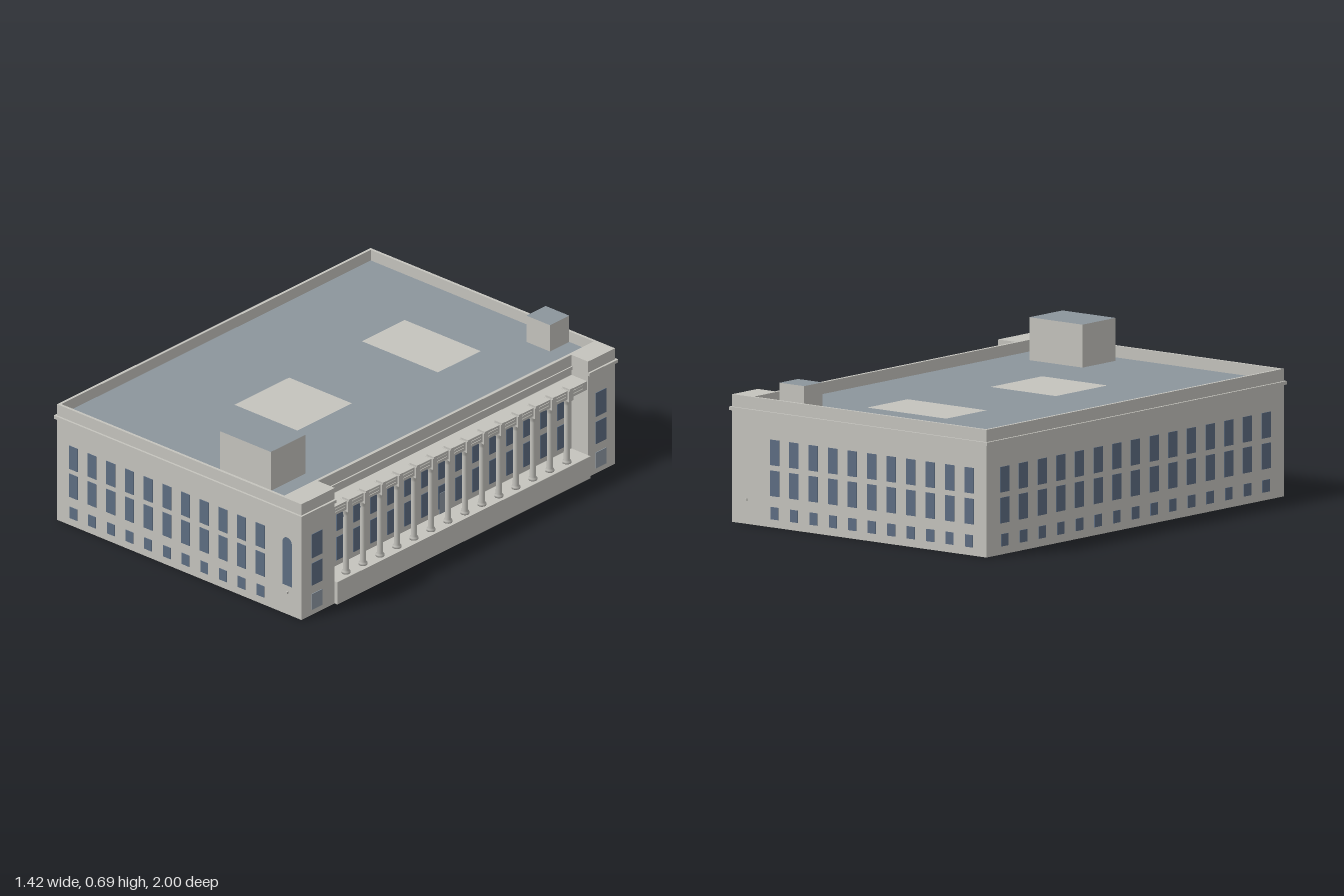
import * as THREE from 'three';

export function createModel() {
  const root = new THREE.Group();
  root.name = 'building';
  const mat = (name, color) => {
    const m = new THREE.MeshStandardMaterial({ color });
    m.name = name;
    return m;
  };
  const stone = mat('stone', 0xc4c3bd);
  const slate = mat('slate', 0x8c959c);
  const glass = mat('window glass', 0x5d6d82);
  const pale = mat('pale panel', 0x8d98a3);

  const add = (name, geo, material, parent = root) => {
    const m = new THREE.Mesh(geo, material);
    m.name = name;
    parent.add(m);
    return m;
  };
  const group = (name) => {
    const g = new THREE.Group();
    g.name = name;
    root.add(g);
    return g;
  };
  // box given by its extents
  const box = (name, x0, x1, y0, y1, z0, z1, material = stone, parent = root) => {
    const m = add(name, new THREE.BoxGeometry(x1 - x0, y1 - y0, z1 - z0), material, parent);
    m.position.set((x0 + x1) / 2, (y0 + y1) / 2, (z0 + z1) / 2);
    return m;
  };

  const L = -0.705, R = 0.695, Z = 0.99, H = 0.55, T = 0.013;
  const wallX = 0.585;          // back of the colonnade recess
  const zA = -0.82, zB = 0.78;  // ends of the colonnade
  const roofY = 0.5;

  // outer walls, open underneath
  const walls = group('walls');
  box('frontWall', L, R, 0, H, Z - T, Z, stone, walls);
  box('backWall', L, R, 0, H, -Z, -Z + T, stone, walls);
  box('leftWall', L, L + T, 0, H, -Z + T, Z - T, stone, walls);
  box('recessWall', wallX, wallX + 0.015, 0, H, zA, zB, stone, walls);

  // end pavilions either side of the colonnade
  for (const [name, z0, z1, inner] of [['frontPavilion', zB, Z - T, zB], ['backPavilion', -Z + T, zA, zA - T]]) {
    const p = group(name);
    box('pavilionFace', R - T, R, 0, H, z0, z1, stone, p);
    box('pavilionSide', wallX, R - T, 0, H, inner, inner + T, stone, p);
    box('pavilionTop', wallX, R - T, roofY, H, z0 + (inner === z0 ? T : 0), z1 - (inner === z0 ? 0 : T), stone, p);
  }

  // cornice band
  const cornice = group('cornice');
  const c0 = 0.482, c1 = 0.497, o = 0.01;
  box('frontCornice', L - o, R + o, c0, c1, Z, Z + o, stone, cornice);
  box('backCornice', L - o, R + o, c0, c1, -Z - o, -Z, stone, cornice);
  box('leftCornice', L - o, L, c0, c1, -Z, Z, stone, cornice);
  box('frontPavilionCornice', R, R + o, c0, c1, zB, Z, stone, cornice);
  box('backPavilionCornice', R, R + o, c0, c1, -Z, zA, stone, cornice);
  box('recessCornice', 0.6, 0.607, c0, c1, zA, zB, stone, cornice);

  // roof with two inset panels; undersides carry the opposite colour
  const rect = (x0, x1, z0, z1, C = THREE.Shape) =>
    new C([[x0, -z0], [x0, -z1], [x1, -z1], [x1, -z0]].map(([a, b]) => new THREE.Vector2(a, b)));
  const panels = [[-0.21, 0.225, -0.66, -0.39], [-0.21, 0.15, 0.07, 0.415]];
  const roofShape = rect(L + T, wallX, -Z + T, Z - T);
  roofShape.holes = panels.map((p) => rect(...p, THREE.Path));
  const flat = (name, shape, topMat, underMat) => {
    const top = new THREE.ShapeGeometry(shape).rotateX(-Math.PI / 2);
    const under = top.clone();
    const ix = under.index.array;
    for (let i = 0; i < ix.length; i += 3) [ix[i], ix[i + 1]] = [ix[i + 1], ix[i]];
    under.computeVertexNormals();
    add(name, top, topMat).position.y = roofY;
    add(name + 'Underside', under, underMat).position.y = roofY - 0.001;
  };
  flat('roof', roofShape, slate, stone);
  panels.forEach((p) => flat('roofPanel', rect(...p), stone, slate));

  // rooftop houses with slate tops
  const topped = [stone, stone, slate, stone, stone, stone];
  box('largeRoofHouse', 0.155, 0.447, roofY, 0.685, 0.69, 0.91, topped);
  box('smallRoofHouse', 0.31, 0.445, roofY, 0.625, -0.977, -0.855, topped);

  // colonnade: podium, columns, entablature
  const col = group('colonnade');
  const step = 0.1073, firstWindow = 0.74;
  box('podium', wallX + 0.015, 0.71, 0, 0.105, zA, zB, stone, col);
  box('entablature', 0.6, 0.69, 0.415, 0.455, zA, zB, stone, col);
  for (const y of [0.425, 0.44]) {
    for (let i = 0; i < 15; i++) {
      const z = firstWindow - i * step;
      box('entablatureMoulding', 0.69, 0.693, y, y + 0.005, z - 0.03, z + 0.03, stone, col);
    }
  }
  const profile = [[0, 0], [0.019, 0], [0.019, 0.01], [0.0135, 0.016], [0.0115, 0.275], [0.012, 0.285], [0.018, 0.3], [0.018, 0.31]]
    .map(([r, y]) => new THREE.Vector2(r, y));
  const shaft = new THREE.LatheGeometry(profile, 14);
  for (let i = 0; i < 14; i++) {
    const z = firstWindow - (i + 0.5) * step;
    add('column', shaft, stone, col).position.set(0.675, 0.105, z);
    box('columnBlock', 0.655, 0.699, 0.405, 0.456, z - 0.014, z + 0.014, stone, col);
    box('columnCrown', 0.66, 0.702, 0.456, 0.465, z - 0.01, z + 0.01, stone, col);
  }

  // windows: thin plates, turned to face their wall
  const win = group('windows');
  const turn = { front: 0, back: Math.PI, left: -Math.PI / 2, right: Math.PI / 2 };
  const pane = (side, u, y0, y1, w, wall, material = glass, name = 'window') => {
    const m = add(name, new THREE.BoxGeometry(w, y1 - y0, 0.004), material, win);
    m.rotation.y = turn[side];
    const y = (y0 + y1) / 2;
    if (side === 'front' || side === 'back') m.position.set(u, y, wall);
    else m.position.set(wall, y, u);
  };
  const rows = [[0.035, 0.088], [0.135, 0.245], [0.268, 0.378]];
  rows.forEach(([y0, y1], r) => {
    for (let i = 0; i < 11; i++) {
      const x = -0.61 + i * 0.1071, w = r ? 0.05 : 0.043;
      pane('front', x, y0, y1, w, Z + 0.001);
      pane('back', x, y0, y1, w, -Z - 0.001);
    }
    for (let i = 0; i < 15; i++) pane('left', -0.87 + i * 0.1243, y0, y1, r ? 0.06 : 0.048, L - 0.001);
  });
  for (let i = 0; i < 15; i++) {
    const z = firstWindow - i * step;
    pane('right', z, 0.13, 0.24, 0.065, 0.601);
    pane('right', z, 0.27, 0.383, 0.065, 0.601);
  }
  pane('right', firstWindow - 7 * step, 0.107, 0.205, 0.058, 0.603, pale, 'door');
  for (const z of [0.893, -0.9]) {
    pane('right', z, 0.025, 0.1, 0.065, R + 0.001, pale, 'palePanel');
    pane('right', z, 0.14, 0.245, 0.065, R + 0.001);
    pane('right', z, 0.27, 0.383, 0.065, R + 0.001);
  }

  // tall arched window on the front
  const arch = new THREE.Shape();
  arch.moveTo(-0.027, 0.138).lineTo(0.027, 0.138).lineTo(0.027, 0.34);
  arch.absarc(0, 0.34, 0.027, 0, Math.PI, false);
  add('archedWindow', new THREE.ShapeGeometry(arch, 10), glass, win).position.set(0.616, 0, Z + 0.003);

  // small wall fixtures
  for (const s of [-1, 1]) box('wallFixture', 0.612, 0.62, 0.1, 0.11, s * 0.993 - 0.004, s * 0.993 + 0.004);

  return root;
}
